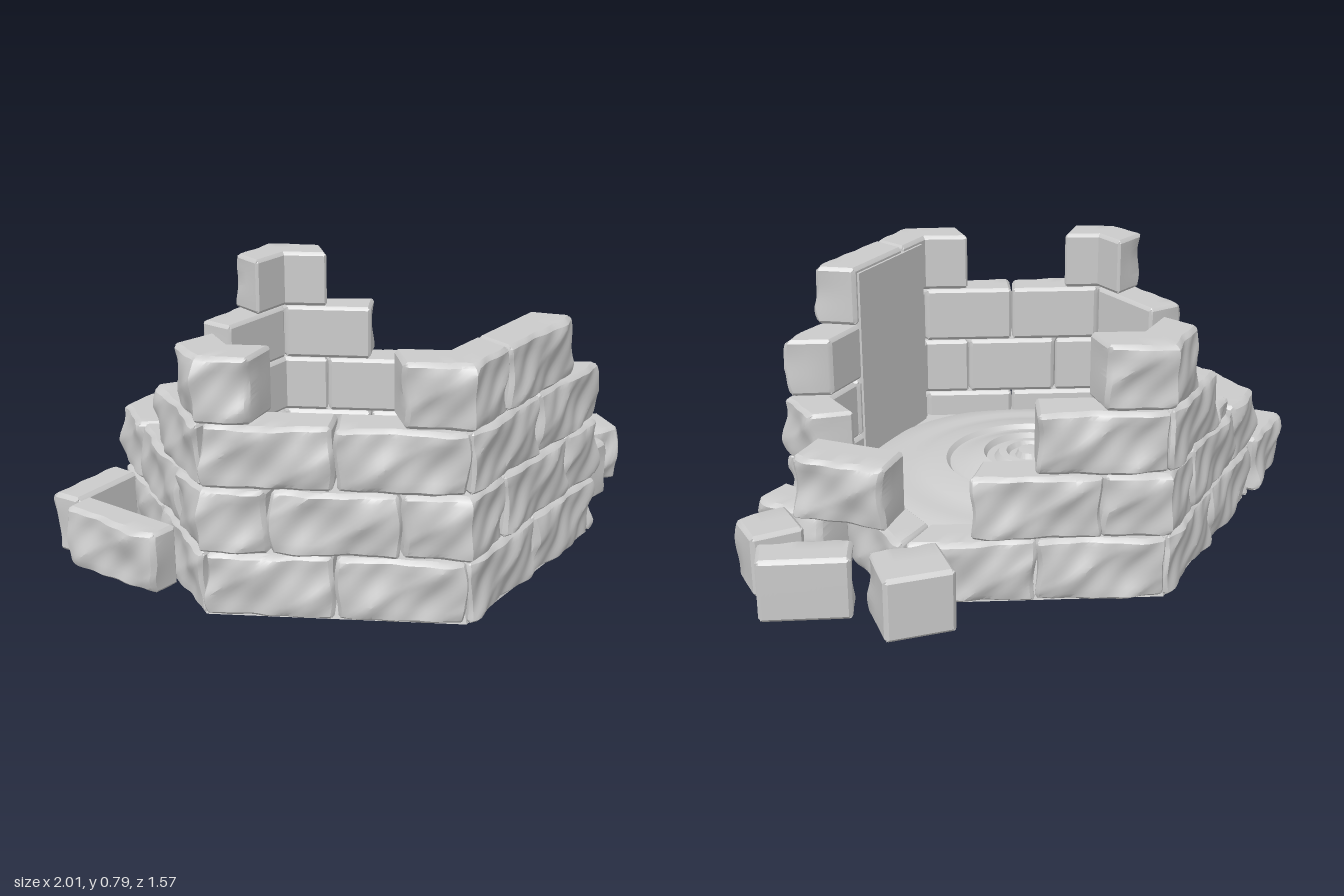
import * as THREE from 'three';
import { toCreasedNormals } from 'three/addons/utils/BufferGeometryUtils.js';

const CX = -0.06;             // centre of the hexagonal wall
const R_IN = 0.615, R_OUT = 0.775;
const BEVEL = 0.012;
const mat = new THREE.MeshStandardMaterial({ color: 0xcccccc, roughness: 0.9 });

// Chiselled relief for the outer face of a stone
function relief(u, v, seed) {
  const a = Math.sin(u * 17 + v * 23 + seed * 2.1);
  const b = Math.sin(u * 61 - v * 49 + seed * 4.7);
  const c = Math.abs(Math.sin(u * 11 - v * 19 + seed * 1.3));
  return 0.007 * a + 0.003 * b - 0.012 * c + 0.007;
}

// Stone of size w x h x d with chamfered edges and a rough +z face;
// place(x, y, z, p) bends the local point into position.
function stone(name, w, h, d, seed, place) {
  const n = [22, 14, 4], size = [w, h, d];
  const geo = new THREE.BoxGeometry(1, 1, 1, ...n);
  const pos = geo.attributes.position;
  const p = new THREE.Vector3();
  for (let i = 0; i < pos.count; i++) {
    const idx = [pos.getX(i), pos.getY(i), pos.getZ(i)].map((c, k) => Math.round((c + 0.5) * n[k]));
    const end = idx.map((j, k) => (j === 0 ? -1 : j === n[k] ? 1 : 0));
    const edge = end.filter((e) => e !== 0).length > 1;
    const q = idx.map((j, k) => {
      const half = size[k] / 2;
      if (end[k]) return end[k] * (half - (edge ? BEVEL * 0.45 : 0));
      return -half + BEVEL + ((j - 1) / (n[k] - 2)) * (size[k] - 2 * BEVEL);
    });
    // worn front: relief plus a fall-off towards the ends and beds
    const front = Math.max(0, q[2] / d + 0.5) ** 2;
    const wear = 0.01 * (Math.abs(2 * q[0] / w) ** 10 + Math.abs(2 * q[1] / h) ** 10);
    q[2] += front * (relief(q[0], q[1], seed) - wear);
    q[0] += front * 0.006 * Math.sin(q[1] * 30 + seed * 3) * (2 * q[0] / w);
    place(q[0], q[1], q[2], p);
    pos.setXYZ(i, p.x, p.y, p.z);
  }
  const mesh = new THREE.Mesh(toCreasedNormals(geo, 0.5), mat);
  mesh.name = name;
  return mesh;
}

// Point on the hexagon: s counts corners from the front one towards +x
function hexPoint(s, radius, y, p) {
  const k = Math.floor(s + 1e-6), t = s - k;
  const a = (k * Math.PI) / 3, b = a + Math.PI / 3;
  return p.set(
    CX + radius * (Math.sin(a) * (1 - t) + Math.sin(b) * t), y,
    radius * (Math.cos(a) * (1 - t) + Math.cos(b) * t));
}

// Wall stone reaching from s0 to s1, able to turn a corner
function wallStone(s0, s1, y0, y1, seed) {
  const mid = (s0 + s1) / 2, w = (s1 - s0) * R_OUT - 0.005, d = R_OUT - R_IN;
  return stone('wallStone', w, y1 - y0 - 0.002, d, seed, (x, y, z, p) =>
    hexPoint(mid + x / R_OUT, (R_IN + R_OUT) / 2 + z, (y0 + y1) / 2 + y, p));
}

export function createModel() {
  const model = new THREE.Group();
  model.name = 'ruinedHexagonalWell';

  // Courses: stone ranges left standing, each stone half a side long
  const courses = [
    { y: [0, 0.2], runs: [[0, 6]] },
    { y: [0.2, 0.4], runs: [[2.25, 7.27]] },
    { y: [0.4, 0.593], runs: [[2.5, 3.5], [4.5, 7]] },
    { y: [0.593, 0.79], runs: [[2.75, 3.25], [4.8, 5.2], [5.75, 6.76]] },
  ];
  courses.forEach(({ y, runs }, row) => {
    const course = new THREE.Group();
    course.name = 'wallCourse' + (row + 1);
    for (const [from, to] of runs)
      for (let s = from; s < to - 0.05; s += 0.5)
        course.add(wallStone(s, Math.min(s + 0.5, to), y[0], y[1], row * 7.3 + s * 3.1));
    model.add(course);
  });

  // Broken remnant beside the end of the third course
  const remnant = wallStone(3.5, 3.64, 0.4, 0.47, 5);
  remnant.name = 'brokenRemnant';
  model.add(remnant);

  // Solid foundation under the floor
  const base = new THREE.Mesh(
    toCreasedNormals(new THREE.CylinderGeometry(0.72, 0.755, 0.11, 6), 0.4), mat);
  base.position.set(CX, 0.055, 0);
  base.name = 'foundation';
  model.add(base);

  // Stepped, rippled round floor rising to the middle
  const profile = [
    [0.585, 0.105], [0.56, 0.118], [0.50, 0.132], [0.45, 0.142], [0.43, 0.138], [0.37, 0.152],
    [0.34, 0.162], [0.28, 0.17], [0.268, 0.155], [0.25, 0.155], [0.20, 0.178], [0.155, 0.19],
    [0.145, 0.17], [0.12, 0.17], [0.105, 0.19], [0.08, 0.192], [0.07, 0.175], [0.05, 0.175],
    [0.04, 0.195], [0, 0.197],
  ].map(([r, y]) => new THREE.Vector2(r, y));
  const floor = new THREE.Mesh(
    toCreasedNormals(new THREE.LatheGeometry(profile, 64), 0.6), mat.clone());
  floor.material.side = THREE.DoubleSide;
  floor.position.set(-0.09, 0, -0.01);
  floor.name = 'rippledFloor';
  model.add(floor);

  // Smooth slab lining the tallest inner face
  const a = hexPoint(0.05, R_IN, 0, new THREE.Vector3());
  const b = hexPoint(0.72, R_IN, 0, new THREE.Vector3());
  const slab = new THREE.Mesh(new THREE.BoxGeometry(a.distanceTo(b), 0.66, 0.016), mat);
  slab.position.copy(a).add(b).multiplyScalar(0.5).setY(0.44);
  slab.rotation.y = -Math.atan2(b.z - a.z, b.x - a.x);
  slab.name = 'innerSlab';
  model.add(slab);

  // Fallen stones: x, z, bottom, length, depth, turn
  const fallen = [
    [0.63, -0.475, 0, 0.21, 0.2, -0.25],
    [0.855, -0.255, 0, 0.27, 0.135, -0.5],
    [0.865, -0.035, 0, 0.165, 0.17, -0.1],
    [0.72, 0.045, 0, 0.265, 0.14, -1.2 + Math.PI],
    [0.665, -0.175, 0.222, 0.29, 0.16, -0.95 + Math.PI],
    [-0.865, -0.258, 0, 0.27, 0.11, 0.55 + Math.PI],
    [-0.868, 0.03, 0, 0.37, 0.11, -1.06],
  ];
  const rubble = new THREE.Group();
  rubble.name = 'fallenStones';
  fallen.forEach(([x, z, y, w, d, turn], i) => {
    const block = stone('fallenStone', w, 0.198, d, i * 2.7 + 1, (px, py, pz, p) => p.set(px, py, pz));
    block.position.set(x, y + 0.1, z);
    block.rotation.y = turn;
    rubble.add(block);
  });
  model.add(rubble);
  return model;
}
